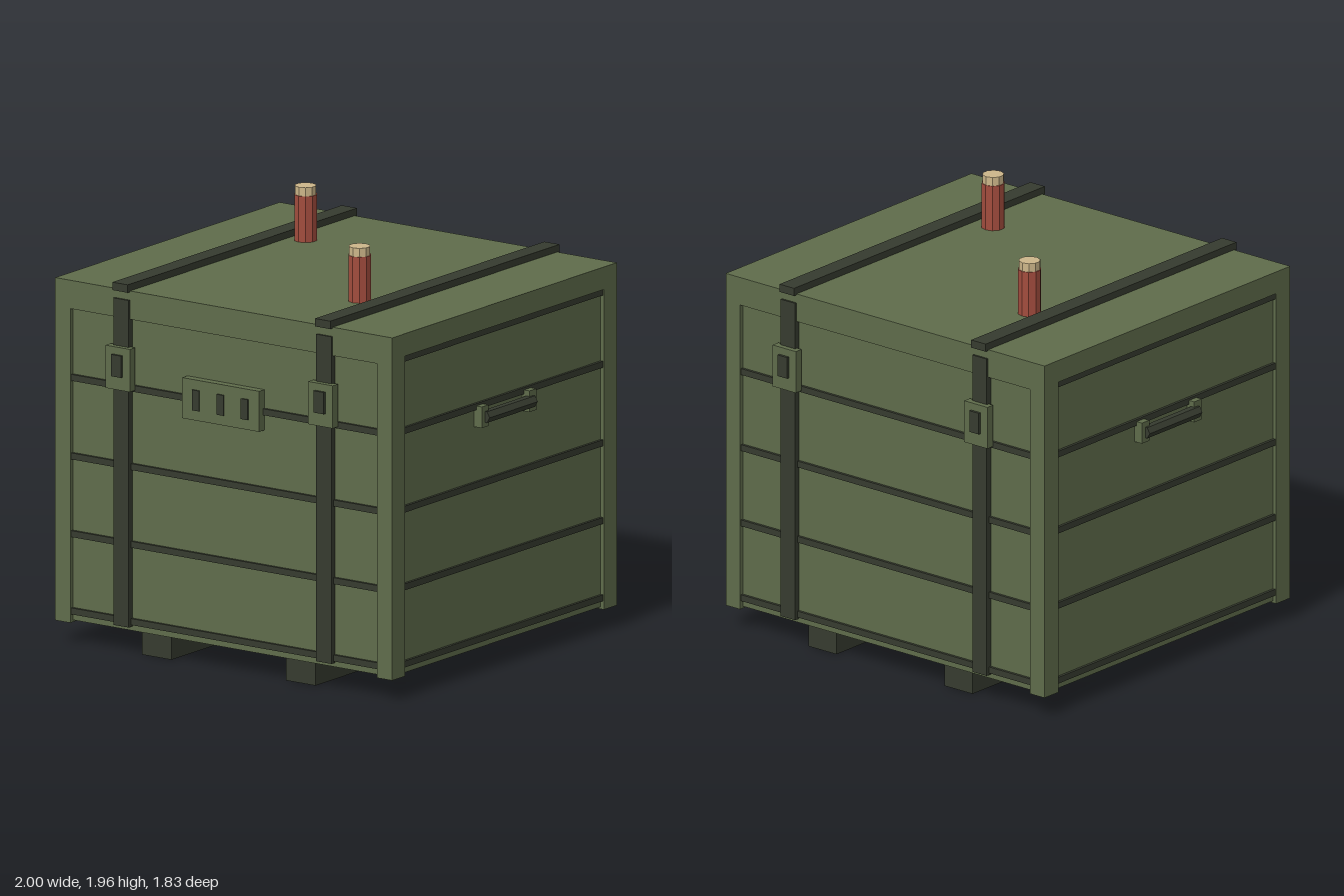
import * as THREE from 'three';

const mat = (name, color) => {
  const m = new THREE.MeshStandardMaterial({ color });
  m.name = name;
  return m;
};

export function createModel() {
  const root = new THREE.Group();
  root.name = 'supplyCrate';
  const green = mat('olive green', 0x5f6c4b);
  const dark = mat('dark olive', 0x363b2f);
  const red = mat('brick red', 0xa34d3e);
  const tan = mat('tan', 0xcdb78a);
  red.flatShading = tan.flatShading = dark.flatShading = true;

  const add = (name, geometry, material, x, y, z) => {
    const m = new THREE.Mesh(geometry, material);
    m.name = name;
    m.position.set(x, y, z);
    root.add(m);
    return m;
  };
  // Box given by its min and max on each axis
  const box = (name, material, x0, x1, y0, y1, z0, z1) =>
    add(name, new THREE.BoxGeometry(Math.abs(x1 - x0), y1 - y0, Math.abs(z1 - z0)),
      material, (x0 + x1) / 2, (y0 + y1) / 2, (z0 + z1) / 2);

  // Recessed panels and lid
  box('body', green, -0.93, 0.93, 0.11, 1.65, -0.845, 0.845);
  box('lid', green, -0.948, 0.948, 1.6, 1.705, -0.864, 0.864);

  // Slats wrapped around the body
  for (const y of [0.154, 0.516, 0.88, 1.248, 1.587])
    box('slatBand', dark, -0.943, 0.943, y - 0.015, y + 0.015, -0.858, 0.858);

  for (const s of [-1, 1]) {
    // Corner posts and lid lip
    for (const t of [-1, 1]) box('cornerPost', green, s * 0.863, s * 0.948, 0.1, 1.703, t * 0.765, t * 0.864);
    box('lidLip', green, -0.863, 0.863, 1.572, 1.61, s * 0.83, s * 0.864);

    // Skids under the crate
    box('skid', dark, s * 0.322, s * 0.488, 0, 0.112, -0.826, 0.826);

    // Straps with a buckle on front and back
    const x = s * 0.57;
    box('topStrap', dark, x - 0.043, x + 0.043, 1.7, 1.737, -0.882, 0.882);
    for (const t of [-1, 1]) {
      box('sideStrap', dark, x - 0.043, x + 0.043, 0.13, 1.662, t * 0.84, t * 0.874);
      box('buckle', green, x - 0.069, x + 0.069, 1.242, 1.442, t * 0.86, t * 0.9);
      box('buckleLatch', dark, x - 0.028, x + 0.028, 1.305, 1.407, t * 0.89, t * 0.913);
    }

    // Side carrying handle
    for (const t of [-1, 1]) box('handleBracket', green, s * 0.925, s * 0.974, 1.153, 1.252, t * 0.158, t * 0.21);
    const bar = add('handleBar', new THREE.CylinderGeometry(0.03, 0.03, 0.37, 6), dark, s * 0.97, 1.2, 0);
    bar.geometry.rotateY(Math.PI / 6);
    bar.geometry.rotateX(Math.PI / 2);
  }

  // Front plate with three dark marks
  box('frontPlate', green, -0.218, 0.216, 1.16, 1.35, 0.84, 0.886);
  for (const x of [-0.138, 0, 0.136])
    box('plateMark', dark, x - 0.019, x + 0.019, 1.207, 1.303, 0.884, 0.893);

  // Sticks standing on the lid
  for (const [x, z] of [[-0.443, -0.372], [0.418, 0.39]]) {
    add('stick', new THREE.CylinderGeometry(0.054, 0.054, 0.22, 10), red, x, 1.81, z);
    add('stickTip', new THREE.CylinderGeometry(0.05, 0.05, 0.05, 10), tan, x, 1.936, z);
  }
  // The bar should show its widest edge outward
  root.traverse((o) => {
    if (o.name === 'handleBar') o.geometry.computeVertexNormals();
  });
  return root;
}
